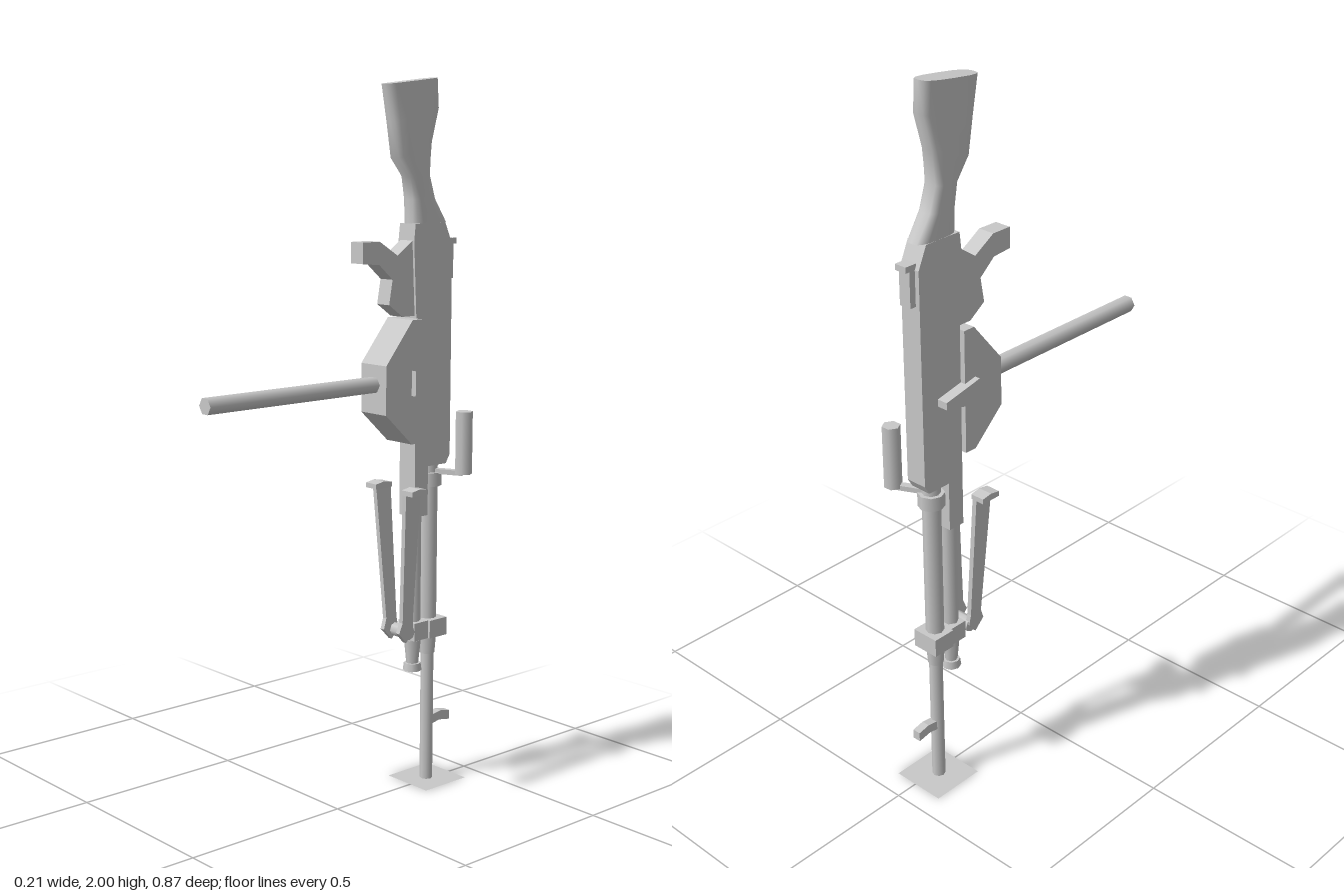
import * as THREE from 'three';

const CX = -0.012; // centre plane of the weapon

export function createModel() {
  const group = new THREE.Group();
  const grey = new THREE.MeshStandardMaterial({ color: 0xc8c8c8 });
  grey.name = 'grey metal';
  grey.side = THREE.DoubleSide;

  const add = (name, geo, x = 0, y = 0, z = 0) => {
    const mesh = new THREE.Mesh(geo, grey);
    mesh.name = name;
    mesh.position.set(x, y, z);
    group.add(mesh);
    return mesh;
  };
  const box = (name, x0, x1, y0, y1, z0, z1) =>
    add(name, new THREE.BoxGeometry(x1 - x0, y1 - y0, z1 - z0), (x0 + x1) / 2, (y0 + y1) / 2, (z0 + z1) / 2);

  // Upright prism with corners pointing along x
  const post = (name, r0, r1, y0, y1, x, z, sides = 8) => {
    const geo = new THREE.CylinderGeometry(r1, r0, y1 - y0, sides);
    geo.rotateY(Math.PI / 2);
    return add(name, geo, x, (y0 + y1) / 2, z);
  };

  // Side outline given as [z, y], thickened across x
  const slab = (name, points, x0, x1) => {
    const shape = new THREE.Shape(points.map(([z, y]) => new THREE.Vector2(z, y)));
    const geo = new THREE.ExtrudeGeometry(shape, { depth: x1 - x0, bevelEnabled: false });
    geo.rotateY(-Math.PI / 2);
    return add(name, geo, x1);
  };

  // Rounded stock lofted through sections [front z, front y, back z, back y]
  const sections = [
    [-0.265, 1.61, -0.398, 1.61], [-0.265, 1.675, -0.352, 1.675], [-0.256, 1.735, -0.33, 1.74],
    [-0.212, 1.785, -0.34, 1.83], [-0.195, 1.88, -0.366, 1.92], [-0.176, 1.98, -0.361, 2.0],
  ];
  const N = 16, pos = [], idx = [];
  const soft = (v) => Math.sign(v) * Math.pow(Math.abs(v), 0.65);
  sections.forEach(([zf, yf, zb, yb]) => {
    for (let i = 0; i < N; i++) {
      const a = (i / N) * Math.PI * 2;
      const t = (1 - soft(Math.cos(a))) / 2;
      pos.push(CX + 0.031 * soft(Math.sin(a)), yf + (yb - yf) * t, zf + (zb - zf) * t);
    }
  });
  for (let s = 0; s < sections.length - 1; s++) {
    for (let i = 0; i < N; i++) {
      const a = s * N + i, b = s * N + ((i + 1) % N);
      idx.push(a, b, a + N, b, b + N, a + N);
    }
  }
  const stock = new THREE.BufferGeometry();
  stock.setAttribute('position', new THREE.Float32BufferAttribute(pos, 3));
  stock.setIndex(idx);
  stock.computeVertexNormals();
  add('stock', stock);

  // Butt plate closes the slanted top of the stock
  const capPos = pos.slice(-N * 3), capIdx = [];
  for (let i = 1; i < N - 1; i++) capIdx.push(0, i, i + 1);
  const cap = new THREE.BufferGeometry();
  cap.setAttribute('position', new THREE.Float32BufferAttribute(capPos, 3));
  cap.setIndex(capIdx);
  cap.computeVertexNormals();
  add('buttPlate', cap);

  // Receiver with pistol grip
  slab('receiver', [
    [-0.27, 0.795], [-0.32, 0.795], [-0.32, 0.935], [-0.39, 0.935], [-0.405, 0.96],
    [-0.405, 1.55], [-0.378, 1.61], [-0.265, 1.61], [-0.26, 1.565],
    [-0.205, 1.525], [-0.14, 1.565], [-0.27, 1.36],
  ].filter((p) => p[0] < -0.25), CX - 0.031, CX + 0.031);
  slab('pistolGrip', [
    [-0.26, 1.565], [-0.205, 1.527], [-0.14, 1.567], [-0.08, 1.567], [-0.08, 1.51], [-0.138, 1.505],
    [-0.187, 1.463], [-0.175, 1.395], [-0.225, 1.36], [-0.275, 1.36], [-0.275, 1.565],
  ], CX - 0.024, CX + 0.024);
  box('rearSight', CX - 0.018, CX + 0.018, 1.455, 1.555, -0.423, -0.4);
  box('rearSightLip', CX - 0.018, CX + 0.018, 1.55, 1.566, -0.435, -0.4);

  // Magazine housing, side wedges and long feed rod
  slab('magazineHousing', [
    [-0.27, 1.01], [-0.235, 1.01], [-0.138, 1.1], [-0.138, 1.235], [-0.235, 1.353], [-0.27, 1.353],
  ], -0.058, 0.042);
  const wedge = [[-0.233, 1.145], [-0.233, 1.215], [-0.352, 1.19], [-0.352, 1.17]];
  slab('rightWedge', wedge, -0.074, -0.04);
  slab('leftWedge', wedge, 0.015, 0.058);
  const rod = new THREE.CylinderGeometry(0.0235, 0.0235, 0.575, 6);
  rod.rotateY(Math.PI / 2);
  rod.rotateX(Math.PI / 2);
  add('feedRod', rod, CX + 0.005, 1.18, 0.1475);

  // Barrel, sleeve and collars
  const BZ = -0.354;
  post('barrel', 0.0185, 0.0185, 0, 0.4, CX, BZ);
  post('barrelSleeve', 0.025, 0.025, 0.43, 0.96, CX, BZ);
  post('sleeveEnd', 0.021, 0.025, 0.38, 0.43, CX, BZ);
  post('barrelCollar', 0.036, 0.036, 0.873, 0.912, CX, BZ);
  box('rearClamp', CX - 0.04, CX + 0.04, 0.435, 0.487, -0.392, -0.325);

  // Gas tube with its foot
  const GZ = -0.295;
  post('gasTube', 0.023, 0.023, 0.43, 0.81, CX, GZ, 6);
  post('gasTubeNeck', 0.017, 0.024, 0.36, 0.43, CX, GZ);
  post('gasTubeFoot', 0.027, 0.024, 0.34, 0.362, CX, GZ);
  box('frontClamp', CX - 0.033, CX + 0.033, 0.435, 0.487, -0.34, -0.271);

  // Front sight
  slab('frontSight', [
    [-0.365, 0.165], [-0.395, 0.17], [-0.435, 0.163], [-0.435, 0.19], [-0.4, 0.197], [-0.365, 0.192],
  ], CX - 0.012, CX + 0.012);

  // Square plate at the muzzle
  const plate = new THREE.PlaneGeometry(0.158, 0.157);
  plate.rotateX(-Math.PI / 2);
  add('muzzlePlate', plate, CX, 0.001, -0.357);

  // Carrying handle on its arm
  post('carryHandle', 0.0245, 0.0245, 0.913, 1.09, 0.082, -0.398, 6);
  const arm = box('carryHandleArm', -0.05, 0.05, 0.908, 0.922, -0.01, 0.01);
  arm.position.set(0.035, 0.915, -0.376);
  arm.rotation.y = Math.atan2(0.044, 0.094);

  // Folded bipod: leaning legs with flat feet
  for (const side of [-1, 1]) {
    const label = side < 0 ? 'right' : 'left';
    const leg = slab(label + 'BipodLeg', [
      [-0.236, 0.438], [-0.262, 0.47], [-0.257, 0.5], [-0.257, 0.88],
      [-0.202, 0.88], [-0.218, 0.5], [-0.207, 0.47],
    ], -0.007, 0.007);
    const p = leg.geometry.attributes.position;
    for (let i = 0; i < p.count; i++) p.setX(i, p.getX(i) + side * (0.03 + (p.getY(i) - 0.45) * 0.072));
    leg.geometry.computeVertexNormals();
    leg.position.x += CX;
    const foot = slab(label + 'BipodFoot', [
      [-0.26, 0.872], [-0.26, 0.886], [-0.23, 0.891], [-0.2, 0.886], [-0.2, 0.872],
    ], -0.021, 0.021);
    foot.position.x += CX + side * 0.073;
  }
  const pivot = new THREE.CylinderGeometry(0.02, 0.02, 0.07, 8);
  pivot.rotateZ(Math.PI / 2);
  add('bipodPivot', pivot, CX, 0.464, -0.25);

  return group;
}
